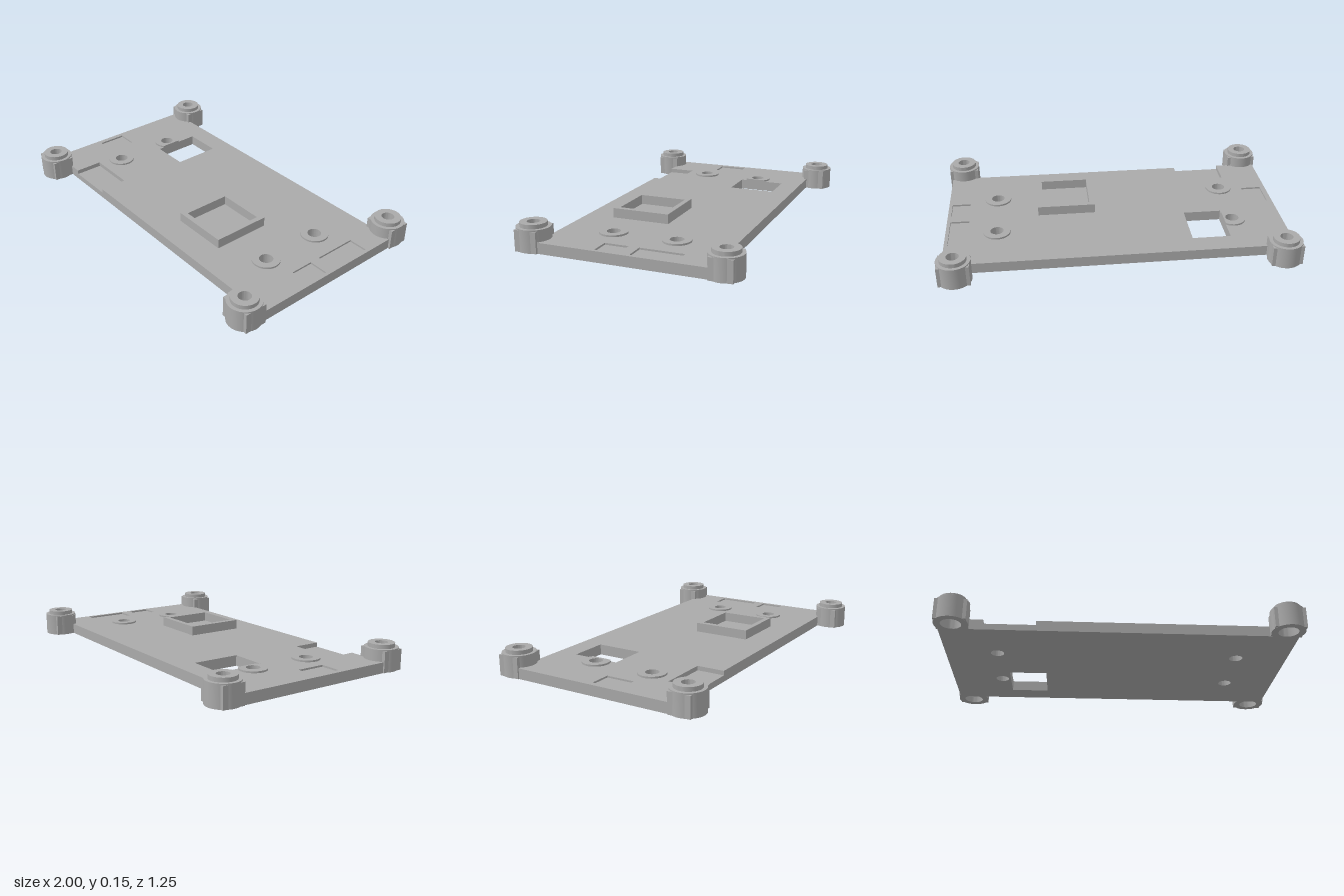
import * as THREE from 'three';
import { toCreasedNormals } from 'three/addons/utils/BufferGeometryUtils.js';

const grey = new THREE.MeshStandardMaterial({ color: 0xaaaaaa });
grey.name = 'grey plastic';

// Rectangle in plan, given by x and z limits (shape y is -z)
function rect(x0, x1, z0, z1, Kind = THREE.Shape) {
  return new Kind([[x0, -z1], [x1, -z1], [x1, -z0], [x0, -z0]].map(p => new THREE.Vector2(...p)));
}
function circleHole(x, z, r) {
  return new THREE.Path().absarc(x, -z, r, 0, Math.PI * 2, true);
}
// Plan shape raised from y0 to y1
function slab(name, shape, y0, y1) {
  const g = new THREE.ExtrudeGeometry(shape, { depth: y1 - y0, bevelEnabled: false, curveSegments: 24 });
  g.rotateX(-Math.PI / 2).translate(0, y0, 0);
  const mesh = new THREE.Mesh(toCreasedNormals(g, 0.6), grey);
  mesh.name = name;
  return mesh;
}

export function createModel() {
  const model = new THREE.Group();
  model.name = 'mountingPlate';

  const X0 = -0.985, X1 = 0.98, Z0 = -0.487, Z1 = 0.475, TOP = 0.06;
  const bosses = [[-0.69, -0.185], [-0.69, 0.18], [0.685, -0.185], [0.685, 0.18]];
  const recesses = [
    [-0.955, -0.835, 0, 0.165], [0.85, 0.96, -0.3, -0.05], [0.85, 0.96, 0.01, 0.145],
  ];

  // Plate in three layers: base, front notch, shallow end recesses
  const notched = () => new THREE.Shape([
    [X0, -Z1], [-0.745, -Z1], [-0.745, -0.315], [-0.46, -0.315], [-0.46, -Z1],
    [X1, -Z1], [X1, -Z0], [X0, -Z0],
  ].map(p => new THREE.Vector2(...p)));
  const layers = [
    ['plateBase', rect(X0, X1, Z0, Z1), 0, 0.035, []],
    ['plateMiddle', notched(), 0.035, 0.05, []],
    ['plateTop', notched(), 0.05, TOP, recesses],
  ];
  for (const [name, shape, y0, y1, cuts] of layers) {
    shape.holes.push(rect(-0.64, -0.42, -0.365, -0.09, THREE.Path));
    for (const [x, z] of bosses) shape.holes.push(circleHole(x, z, 0.038));
    for (const c of cuts) shape.holes.push(rect(...c, THREE.Path));
    model.add(slab(name, shape, y0, y1));
  }

  // Raised square frame
  const frame = rect(0.107, 0.445, -0.027, 0.31);
  frame.holes.push(rect(0.138, 0.415, 0.003, 0.28, THREE.Path));
  model.add(slab('raisedFrame', frame, TOP, 0.115));

  // Low screw bosses; the one beside the window is cut flat
  bosses.forEach(([x, z], i) => {
    const a = i === 0 ? Math.acos(0.05 / 0.078) : 0;
    const ring = new THREE.Shape().absarc(x, -z, 0.078, a, Math.PI * 2 - a, false);
    ring.holes.push(circleHole(x, z, 0.038));
    model.add(slab('screwBoss', ring, TOP, 0.07));
  });

  // Corner posts: stepped top, through hole and wider bore below
  const profile = [
    [0.056, 0], [0.093, 0], [0.093, 0.125], [0.073, 0.125], [0.073, 0.148],
    [0.035, 0.148], [0.035, 0.1], [0.056, 0.1], [0.056, 0],
  ].map(p => new THREE.Vector2(...p));
  const postGeometry = toCreasedNormals(new THREE.LatheGeometry(profile, 48), 0.6);
  for (const sx of [-1, 1]) {
    for (const z of [-0.534, 0.53]) {
      const corner = new THREE.Group();
      corner.name = 'cornerPost';
      corner.position.set(sx * 0.906, 0, z);
      const post = new THREE.Mesh(postGeometry, grey);
      post.name = 'postTube';
      // Square block joining the post to the plate
      const block = rect(-0.087, 0.087, -0.064, 0.064);
      block.holes.push(circleHole(0, 0, 0.06));
      corner.add(post, slab('postBlock', block, 0.001, 0.118));
      model.add(corner);
    }
  }
  return model;
}
